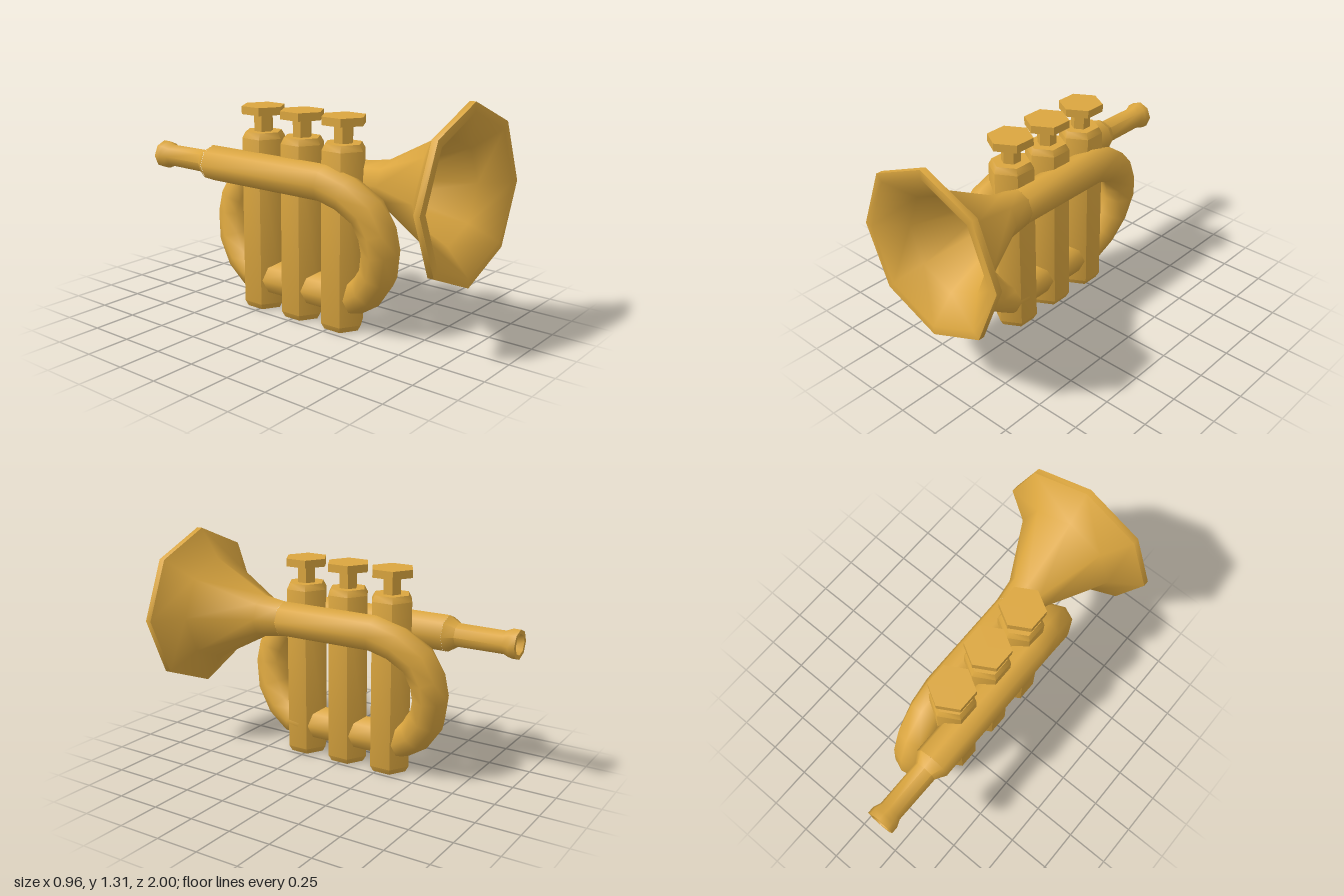
import * as THREE from 'three';
import { toCreasedNormals } from 'three/addons/utils/BufferGeometryUtils.js';

const SIDES = 8;

// Octagonal tube through a list of [x, y, z] centres
function sweep(points, radius) {
  const path = points.map(p => new THREE.Vector3(...p));
  const pos = [], index = [];
  path.forEach((c, i) => {
    const before = path[Math.max(i - 1, 0)], after = path[Math.min(i + 1, path.length - 1)];
    const inDir = c.clone().sub(before).normalize(), outDir = after.clone().sub(c).normalize();
    const t = inDir.add(outDir).normalize();
    const side = new THREE.Vector3(1, 0, 0).addScaledVector(t, -t.x).normalize();
    const up = t.clone().cross(side);
    for (let j = 0; j < SIDES; j++) {
      const a = j / SIDES * Math.PI * 2;
      const v = c.clone().addScaledVector(side, radius * Math.cos(a)).addScaledVector(up, radius * Math.sin(a));
      pos.push(v.x, v.y, v.z);
      if (i < path.length - 1) {
        const k = (j + 1) % SIDES, r0 = i * SIDES, r1 = r0 + SIDES;
        index.push(r0 + j, r0 + k, r1 + j, r0 + k, r1 + k, r1 + j);
      }
    }
  });
  const g = new THREE.BufferGeometry();
  g.setAttribute('position', new THREE.Float32BufferAttribute(pos, 3));
  g.setIndex(index);
  g.computeVertexNormals();
  return g;
}

// Turned part from [radius, height] pairs, with creased edges
function turned(profile, sides, crease) {
  const g = new THREE.LatheGeometry(profile.map(p => new THREE.Vector2(...p)), sides);
  return toCreasedNormals(g, crease);
}

export function createModel() {
  const model = new THREE.Group();
  model.name = 'pocketTrumpet';
  const brass = new THREE.MeshStandardMaterial({ color: 0xdba63f });
  brass.name = 'brass';

  const add = (name, geometry, x = 0, y = 0, z = 0, parent = model) => {
    const mesh = new THREE.Mesh(geometry, brass);
    mesh.name = name;
    mesh.position.set(x, y, z);
    parent.add(mesh);
    return mesh;
  };

  const pipeY = 0.83, valveX = -0.12, pipeR = 0.105;

  // Flared bell with rim, hollow inside
  const bell = turned([
    [0.105, 0.36], [0.125, 0.5], [0.31, 0.85], [0.48, 0.965], [0.48, 1],
    [0.43, 1], [0.285, 0.87], [0.11, 0.5], [0, 0.5],
  ], SIDES, 0.9);
  bell.rotateX(Math.PI / 2);
  add('bell', bell, 0, pipeY, 0);

  // Bell pipe, curling down at the back into the last valve
  const bend = [
    [-0.005, 0.83, -0.24], [-0.015, 0.79, -0.38], [-0.035, 0.71, -0.5], [-0.05, 0.6, -0.555],
    [-0.06, 0.5, -0.57], [-0.085, 0.365, -0.54], [-0.105, 0.255, -0.46], [-0.12, 0.19, -0.36],
    [-0.12, 0.18, -0.28],
  ];
  add('bellPipe', sweep([[0, pipeY, 0.36], ...bend], pipeR));

  // Lead pipe, curling down at the front into the first valve
  const mirrored = bend.map(([x, y, z]) => [-0.23 - x, y, -z]);
  add('leadPipe', sweep([[-0.228, pipeY, -0.585], ...mirrored], pipeR));

  // Mouthpiece with tapered shank and hollow cup
  const mouthpiece = turned([
    [0.105, 0.585], [0.068, 0.645], [0.066, 0.92], [0.083, 0.96], [0.083, 1],
    [0.06, 1], [0.042, 0.94], [0, 0.93],
  ], SIDES, 0.9);
  mouthpiece.rotateX(-Math.PI / 2);
  add('mouthpiece', mouthpiece, -0.23, pipeY, 0);

  // Three hexagonal valves with stems and finger buttons
  const body = turned([
    [0, 0], [0.107, 0], [0.127, 0.035], [0.127, 1.005], [0.107, 1.04], [0, 1.04],
  ], 6, 1.07);
  const stem = toCreasedNormals(new THREE.CylinderGeometry(0.055, 0.055, 0.11, 6), 0.5);
  const button = toCreasedNormals(new THREE.CylinderGeometry(0.127, 0.127, 0.045, 6), 0.5);
  for (const z of [0.285, 0, -0.285]) {
    const valve = new THREE.Group();
    valve.name = 'valve';
    valve.position.set(valveX, 0, z);
    model.add(valve);
    add('valveBody', body, 0, 0, 0, valve);
    add('valveStem', stem, 0, 1.09, 0, valve);
    add('valveButton', button, 0, 1.1625, 0, valve);
  }

  // Short pipes joining neighbouring valves
  for (const z of [0.1425, -0.1425]) {
    add('valveConnector', sweep([[0, 0, -0.12], [0, 0, 0.12]], 0.103), valveX, 0.182, z);
  }
  return model;
}
